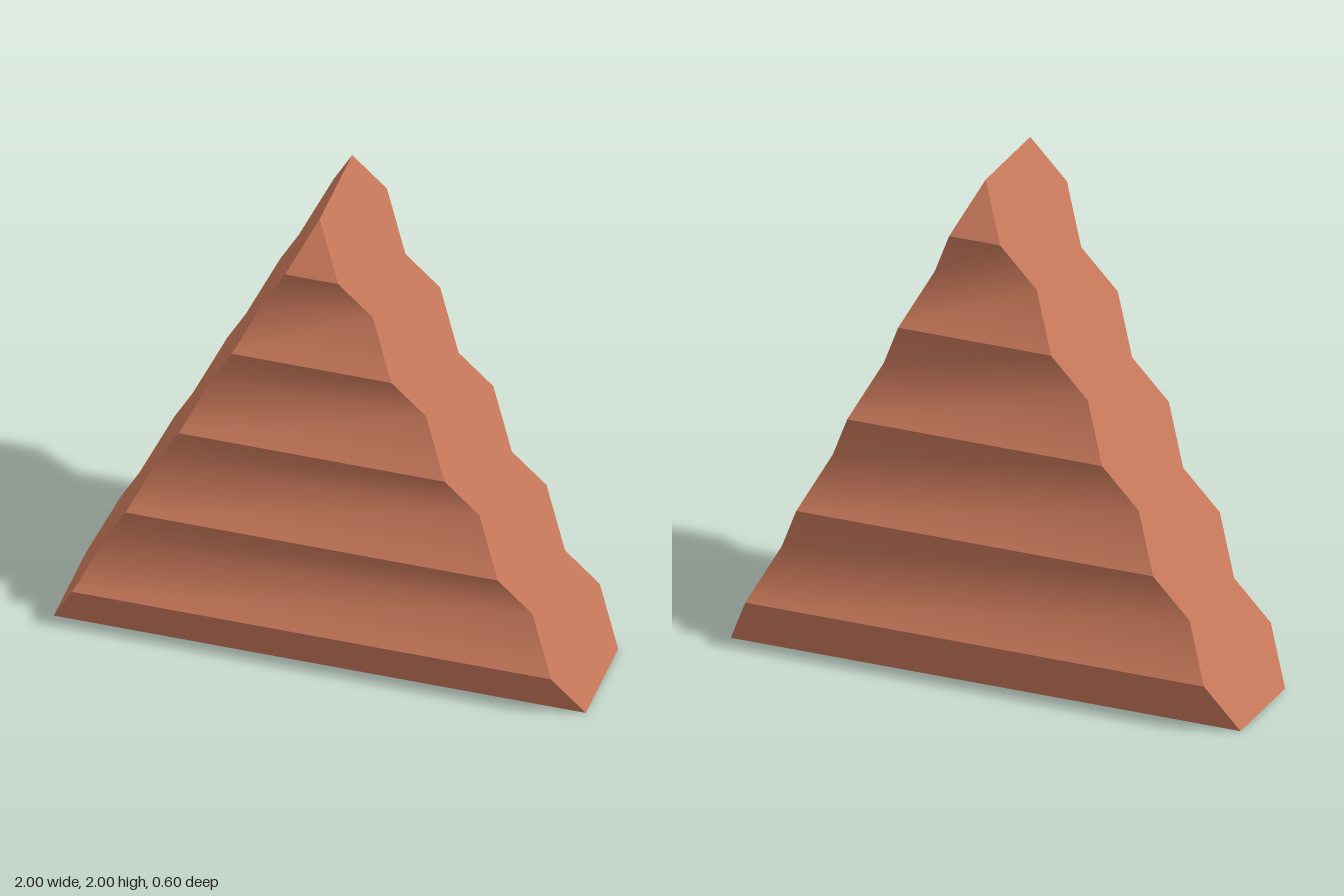
import * as THREE from 'three';

const HEIGHT = 2;
const STEP = 0.2; // vertical distance between a ridge and a valley

const halfWidth = (y) => 1 - y / HEIGHT;
// Half depth swings between valleys (even levels) and ridges (odd levels)
const halfDepth = (level) => (level % 2 ? 0.3 : 0.2);

// Skin a stack of [left, right] point pairs, listed from bottom to top
function strip(rows) {
  const geometry = new THREE.BufferGeometry();
  geometry.setAttribute('position', new THREE.Float32BufferAttribute(rows.flat(2), 3));
  const index = [];
  for (let i = 0; i < rows.length - 1; i++) {
    const a = i * 2;
    const [left, right] = rows[i + 1];
    index.push(a, a + 1, a + 3);
    // A row that has closed to a point needs only one triangle
    if (left.some((v, k) => v !== right[k])) index.push(a, a + 3, a + 2);
  }
  geometry.setIndex(index);
  geometry.computeVertexNormals();
  return geometry;
}

export function createModel() {
  const model = new THREE.Group();
  model.name = 'ribbedWedge';

  const terracotta = new THREE.MeshStandardMaterial({ color: 0xc9795b });
  terracotta.name = 'terracotta';

  const add = (name, geometry, turn = 0) => {
    const mesh = new THREE.Mesh(geometry, terracotta);
    mesh.name = name;
    mesh.rotation.y = turn;
    model.add(mesh);
  };

  const faceRow = (level) => {
    const y = level * STEP;
    const x = halfWidth(y);
    const z = halfDepth(level);
    return [[-x, y, z], [x, y, z]];
  };
  const endRow = (level) => {
    const y = level * STEP;
    const x = halfWidth(y);
    const z = halfDepth(level);
    return [[x, y, z], [x, y, -z]];
  };

  // Ribbed faces: sharp at each ridge, smooth through each valley
  const bands = [[0, 1], [1, 2, 3], [3, 4, 5], [5, 6, 7], [7, 8, 9], [9, 10]];
  bands.forEach((levels, i) => {
    const geometry = strip(levels.map(faceRow));
    add(`frontBand${i + 1}`, geometry);
    add(`backBand${i + 1}`, geometry, Math.PI);
  });

  // Flat sloping ends with the zigzag outline
  const slope = strip(Array.from({ length: 11 }, (_, level) => endRow(level)));
  add('leftSlope', slope);
  add('rightSlope', slope, Math.PI);

  // Underside
  const z = halfDepth(0);
  add('base', strip([[[-1, 0, -z], [1, 0, -z]], [[-1, 0, z], [1, 0, z]]]));

  return model;
}
